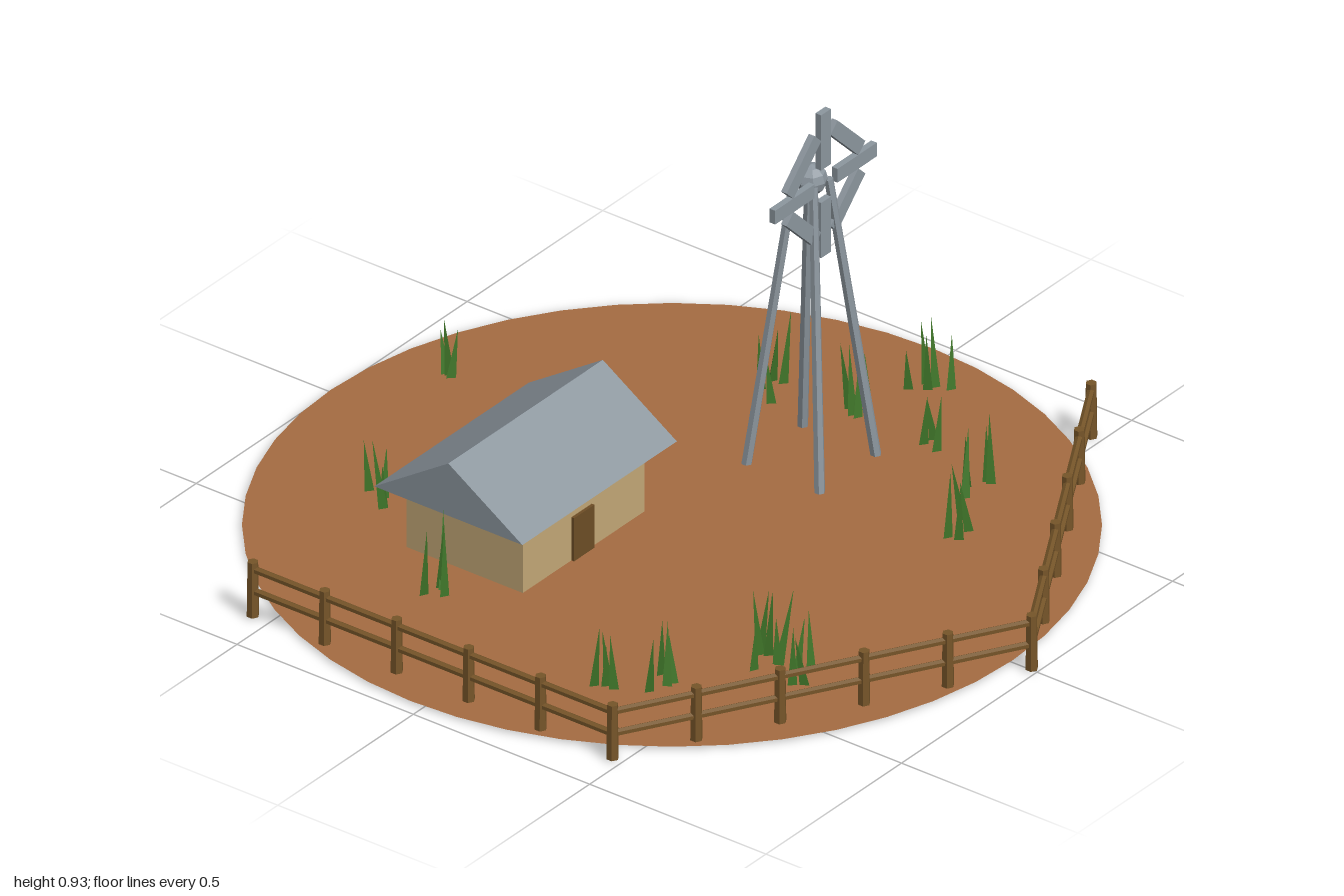
import * as THREE from 'three';

export function createModel() {
  const model = new THREE.Group();
  model.name = 'farmyard';
  const mat = (name, color, extra = {}) => {
    const m = new THREE.MeshStandardMaterial({ color, flatShading: true, ...extra });
    m.name = name;
    return m;
  };
  const soil = mat('soil', 0xa66c42, { side: THREE.DoubleSide });
  const plaster = mat('tan plaster', 0xc4a877);
  const metal = mat('grey metal', 0x8d979f);
  const wood = mat('fence wood', 0x765529);
  const doorWood = mat('door wood', 0x6e4e26);
  const green = mat('grass green', 0x3f7529);

  const add = (parent, name, geo, material, x = 0, y = 0, z = 0) => {
    const m = new THREE.Mesh(geo, material);
    m.name = name;
    m.position.set(x, y, z);
    parent.add(m);
    return m;
  };
  const group = (name, x = 0, y = 0, z = 0) => {
    const g = new THREE.Group();
    g.name = name;
    g.position.set(x, y, z);
    model.add(g);
    return g;
  };
  // Straight round bar between two points
  const up = new THREE.Vector3(0, 1, 0);
  const bar = (parent, name, a, b, r0, r1, material, sides = 6) => {
    const d = b.clone().sub(a);
    const m = add(parent, name, new THREE.CylinderGeometry(r1, r0, d.length(), sides), material);
    m.position.copy(a).add(b).multiplyScalar(0.5);
    m.quaternion.setFromUnitVectors(up, d.normalize());
    return m;
  };
  const V = (x, y, z) => new THREE.Vector3(x, y, z);

  // Ground disc
  const ground = add(model, 'ground', new THREE.CircleGeometry(0.967, 48), soil, 0, 0.008, -0.035);
  ground.rotation.x = -Math.PI / 2;

  // House: walls, door and gabled roof
  const house = group('house', -0.215, 0, -0.285);
  add(house, 'walls', new THREE.BoxGeometry(0.45, 0.175, 0.33), plaster, 0, 0.0925, 0);
  add(house, 'door', new THREE.BoxGeometry(0.075, 0.115, 0.009), doorWood, -0.008, 0.0635, 0.168);
  const gable = new THREE.Shape([
    new THREE.Vector2(-0.21, 0), new THREE.Vector2(0.21, 0), new THREE.Vector2(0, 0.137)]);
  const roofGeo = new THREE.ExtrudeGeometry(gable, { depth: 0.57, bevelEnabled: false });
  roofGeo.translate(0, 0, -0.285).rotateY(Math.PI / 2);
  add(house, 'roof', roofGeo, metal, 0, 0.179, 0);

  // Wind pump: four splayed legs, hub and eight blades
  const pump = group('windPump', 0.42, 0, 0.037);
  for (const sx of [-1, 1]) for (const sz of [-1, 1])
    bar(pump, 'leg', V(sx * 0.104, 0.003, sz * 0.104), V(sx * 0.028, 0.74, sz * 0.028), 0.013, 0.011, metal);
  add(pump, 'hub', new THREE.SphereGeometry(0.038, 8, 6), metal, 0, 0.743, 0);
  for (let i = 0; i < 8; i++) {
    const a = i * Math.PI / 4;
    const blade = add(pump, 'blade', new THREE.BoxGeometry(0.145, 0.036, 0.016), metal,
      Math.cos(a) * 0.115, 0.745 + Math.sin(a) * 0.115, 0.034);
    // Diagonal blades lie across the wheel, the others point outwards
    blade.rotation.z = i % 2 ? a + Math.PI / 2 : a;
  }

  // Fence: three sides of a hexagon, posts with two rails
  const fence = group('fence');
  const corners = [V(-0.883, 0, -0.545), V(-0.883, 0, 0.475), V(0, 0, 0.985), V(0.883, 0, 0.475)];
  const bays = 5;
  for (let s = 0; s < 3; s++) {
    const a = corners[s], b = corners[s + 1];
    for (let i = s ? 1 : 0; i <= bays; i++) {
      const p = a.clone().lerp(b, i / bays);
      add(fence, 'post', new THREE.CylinderGeometry(0.013, 0.015, 0.142, 6), wood, p.x, 0.076, p.z);
    }
    for (const y of [0.07, 0.127])
      bar(fence, 'rail', a.clone().setY(y), b.clone().setY(y), 0.009, 0.009, wood);
  }

  // Grass tufts: x, z, number of blades
  const tufts = [
    [0.22, -0.83, 3], [-0.32, -0.63, 4], [-0.56, -0.27, 4], [0.6, -0.21, 4],
    [0.65, -0.03, 5], [0.84, 0.06, 5], [0.65, 0.21, 3], [0.54, 0.39, 4],
    [0.375, 0.48, 4], [-0.35, 0.49, 6], [-0.34, 0.6, 4], [-0.57, 0.37, 4], [-0.64, 0.26, 4]];
  let seed = 11;
  const rnd = () => (seed = (seed * 16807) % 2147483647) / 2147483647;
  const grass = group('grass');
  for (const [x, z, n] of tufts)
    for (let i = 0; i < n; i++) {
      const h = 0.11 + rnd() * 0.08;
      const geo = new THREE.ConeGeometry(0.013, h, 3).translate(0, h / 2, 0);
      const blade = add(grass, 'grassBlade', geo, green,
        x + (rnd() - 0.5) * 0.09, 0.006, z + (rnd() - 0.5) * 0.08);
      blade.rotation.set((rnd() - 0.5) * 0.25, rnd() * 0.6, (rnd() - 0.5) * 0.4);
    }
  return model;
}
